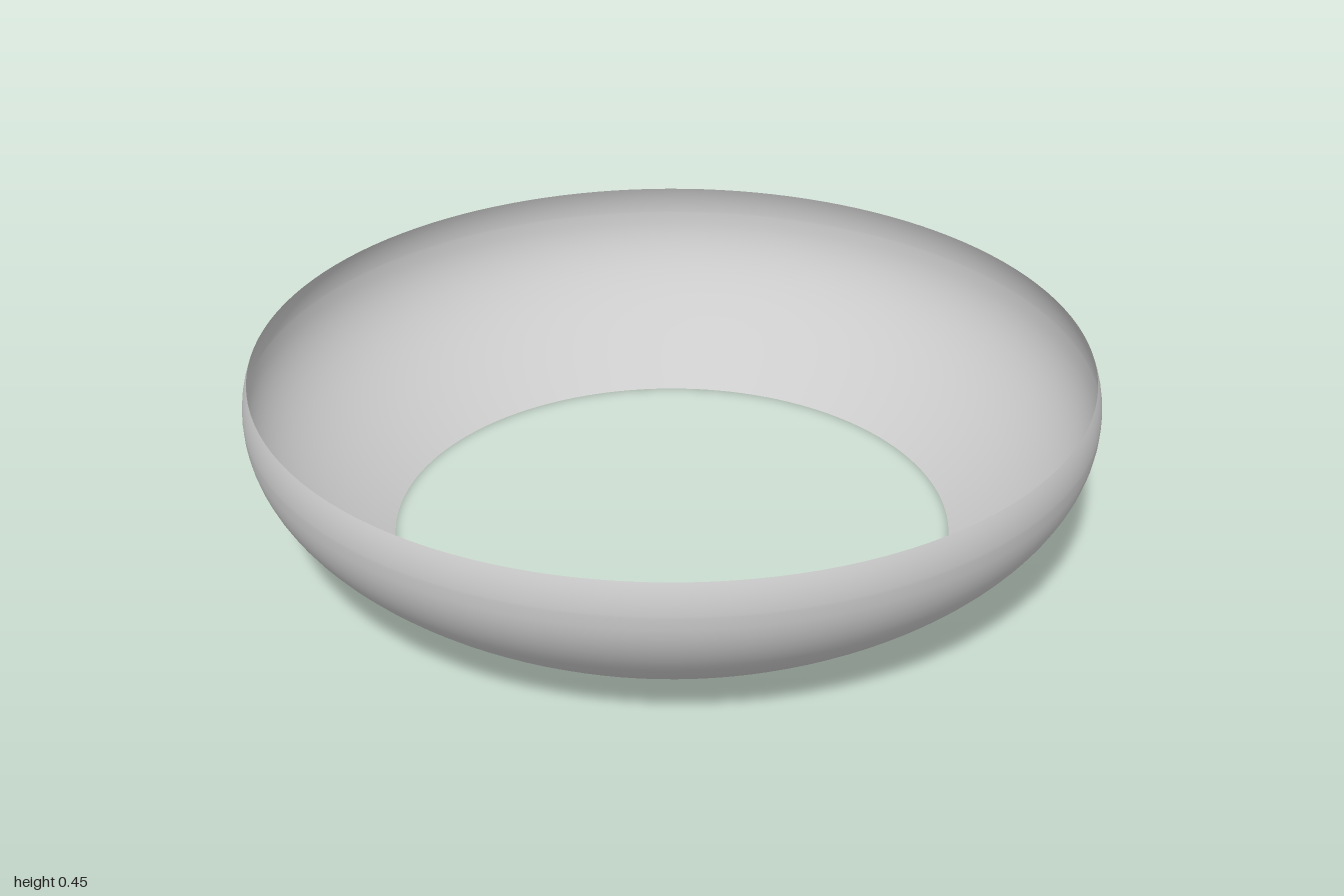
import * as THREE from 'three';

export function createModel() {
  const group = new THREE.Group();
  group.name = 'openBowlRing';

  // Wall profile: flares out from the open base, then curls in at the rim
  const profile = new THREE.Path();
  profile.moveTo(0.67, 0);
  profile.bezierCurveTo(0.85, 0.11, 1, 0.22, 1, 0.37);
  profile.bezierCurveTo(1, 0.4, 0.994, 0.425, 0.985, 0.447);

  // Thin open shell, seen from inside and outside
  const wall = new THREE.Mesh(
    new THREE.LatheGeometry(profile.getPoints(16), 128),
    new THREE.MeshStandardMaterial({ color: 0xcccccc, side: THREE.DoubleSide })
  );
  wall.name = 'bowlWall';
  group.add(wall);

  return group;
}
